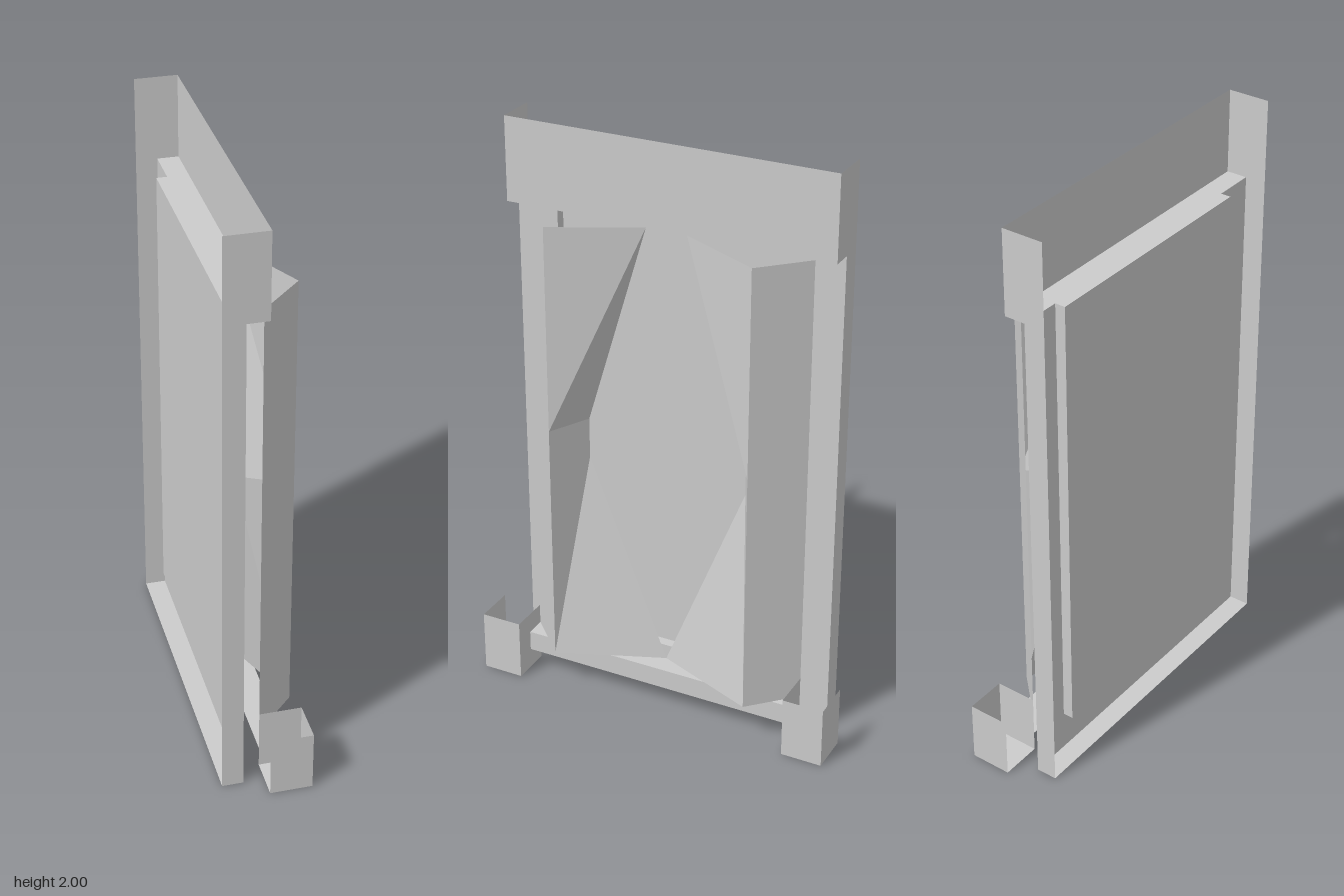
import * as THREE from 'three';

const U = 1 / 14; // modelling grid step

const material = new THREE.MeshStandardMaterial({
  color: 0xcccccc, flatShading: true, side: THREE.DoubleSide,
});

// Thin shell made of flat faces; each face is a loop of [x, y, z] corners,
// fanned from its first corner. side = -1 mirrors it across z.
function shell(name, faces, side = 1) {
  const pos = [];
  const put = ([x, y, z]) => pos.push(x * U, y * U, z * U * side);
  for (const f of faces) {
    const loop = side < 0 ? [f[0], ...f.slice(1).reverse()] : f;
    for (let i = 1; i < loop.length - 1; i++) [loop[0], loop[i], loop[i + 1]].forEach(put);
  }
  const geo = new THREE.BufferGeometry();
  geo.setAttribute('position', new THREE.Float32BufferAttribute(pos, 3));
  geo.computeVertexNormals();
  const mesh = new THREE.Mesh(geo, material);
  mesh.name = name;
  return mesh;
}

// Axis-aligned rectangles: facing +x, +y and +z (flip turns them round)
const turn = (f, flip) => (flip ? f.reverse() : f);
const faceX = (x, y0, y1, z0, z1, flip) =>
  turn([[x, y0, z1], [x, y0, z0], [x, y1, z0], [x, y1, z1]], flip);
const faceY = (y, x0, x1, z0, z1, flip) =>
  turn([[x0, y, z1], [x1, y, z1], [x1, y, z0], [x0, y, z0]], flip);
const faceZ = (z, x0, x1, y0, y1, flip) =>
  turn([[x0, y0, z], [x1, y0, z], [x1, y1, z], [x0, y1, z]], flip);

export function createModel() {
  const model = new THREE.Group();
  model.name = 'curtainedWindow';

  // Pane set back in the frame, with the strip and ledge beneath it
  model.add(shell('windowPane', [faceX(-1.5, 2, 24, -6, 6)]));
  model.add(shell('frameBottom', [
    faceX(-1, 0, 2, -6, 6),
    faceY(2, -1.5, -1, -6, 6),
    faceY(0, -2, -1, -8, 8, true),
  ]));

  // Header: front board and underside, open at top and back
  model.add(shell('header', [
    faceX(0, 24, 28, -8, 8),
    faceY(24, -1.5, 0, -6, 6, true),
    faceY(24, -1, 0, 6, 8, true),
    faceY(24, -1, 0, -8, -6, true),
  ]));

  // Sill
  model.add(shell('sill', [
    faceX(1, 1, 2, -7, 7),
    faceY(2, 0, 1, -7, 7),
    faceY(1, 0, 1, -7, 7, true),
  ]));

  for (const side of [1, -1]) {
    const label = side > 0 ? 'front' : 'back';

    // Jamb with its reveal and the stepped end wall
    model.add(shell(label + 'Jamb', [
      faceX(-1, 0, 24, 6, 8),
      faceZ(6, -1.5, -1, 2, 24, true),
      [[-1, 24, 8], [0, 24, 8], [0, 28, 8], [-2, 28, 8], [-2, 0, 8], [-1, 0, 8]],
    ], side));

    // Sill end block, open at top and back
    model.add(shell(label + 'SillBlock', [
      faceX(2, 0, 3, 7, 9),
      faceY(0, 0, 2, 7, 9, true),
      faceZ(9, 0, 2, 0, 3),
      faceZ(7, 0, 2, 0, 3, true),
    ], side));

    // Curtain: outer panel and the folds drawn in at mid height
    model.add(shell(label + 'Curtain', [
      [[0, 2, 7], [2, 2, 5], [2, 24, 5], [0, 24, 7]],
      [[2, 24, 5], [2, 14, 5], [0, 24, 1]],
      [[0, 24, 1], [2, 14, 5], [0, 14, 4]],
      [[2, 14, 5], [2, 2, 5], [0, 12, 4], [0, 14, 4]],
      [[2, 2, 5], [0, 2, 0], [0, 12, 4]],
    ], side));
  }
  return model;
}
